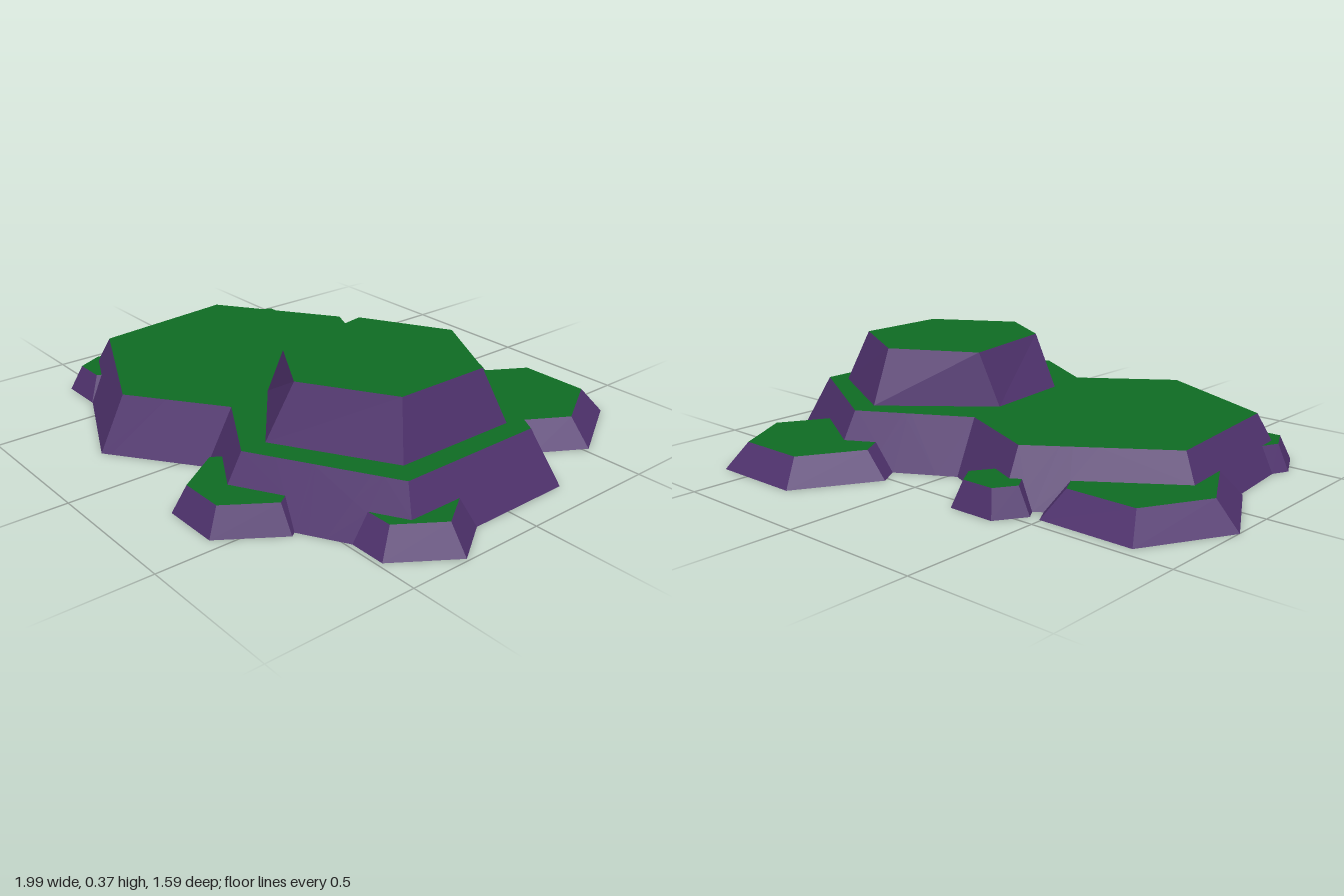
import * as THREE from 'three';

const EPS = 1e-5;
const mossGreen = new THREE.MeshStandardMaterial({ name: 'moss green', color: 0x0f6c23, side: THREE.DoubleSide });
const rockPurple = new THREE.MeshStandardMaterial({ name: 'rock purple', color: 0x4f326d, side: THREE.DoubleSide });

const ring = (points, y) => points.map(([x, z]) => new THREE.Vector3(x, y, z));
const scaled = (cx, cz, points, s) => points.map(([x, z]) => [cx + x * s, cz + z * s]);

// Sloped slab without a floor; outlines run back, left, front, right.
function slab(name, base, top, y0, y1, cutFloor = -1) {
  const lower = ring(base, y0), upper = ring(top, y1), n = lower.length;
  const walls = lower.map((p, i) => [p, lower[(i + 1) % n], upper[(i + 1) % n], upper[i]]);
  const planes = [...walls, upper].map((f) => new THREE.Plane().setFromCoplanarPoints(f[0], f[1], f[2]));
  planes.push(new THREE.Plane(new THREE.Vector3(0, -1, 0), cutFloor));
  return { name, walls, top: upper, planes };
}

// Small six-sided ledge around the foot of the rock.
function ledge(name, cx, cz, reach, half, depth, ratio) {
  const hex = [[half, -depth], [-half, -depth], [-reach, 0], [-half, depth], [half, depth], [reach, 0]];
  return slab(name, scaled(cx, cz, hex, 1), scaled(cx, cz, hex, ratio), 0, 0.09);
}

// Broad plateau given by its top outline.
function plateau(name, cx, cz, top, spread) {
  return slab(name, scaled(cx, cz, top, spread), scaled(cx, cz, top, 1), 0, 0.185);
}

// Pieces of a convex face lying outside a convex solid.
function outside(face, planes, keepCoplanar) {
  const kept = [];
  let rest = face;
  for (const plane of planes) {
    const d = rest.map((p) => plane.distanceToPoint(p));
    if (d.every((v) => Math.abs(v) < EPS)) {
      if (keepCoplanar) return [face];
      continue;
    }
    if (d.every((v) => v > -EPS)) return [face];
    if (d.every((v) => v < EPS)) continue;
    const out = [], inn = [];
    rest.forEach((p, i) => {
      const j = (i + 1) % rest.length;
      if (d[i] > -EPS) out.push(p);
      if (d[i] < EPS) inn.push(p);
      if ((d[i] > EPS && d[j] < -EPS) || (d[i] < -EPS && d[j] > EPS)) {
        const cut = p.clone().lerp(rest[j], d[i] / (d[i] - d[j]));
        out.push(cut);
        inn.push(cut);
      }
    });
    kept.push(out);
    rest = inn;
  }
  return kept;
}

// Flat-shaded mesh made of convex faces.
function faceMesh(name, faces, material) {
  const points = [];
  for (const f of faces) {
    for (let i = 1; i < f.length - 1; i++) points.push(f[0], f[i], f[i + 1]);
  }
  const geometry = new THREE.BufferGeometry().setFromPoints(points);
  geometry.computeVertexNormals();
  const mesh = new THREE.Mesh(geometry, material);
  mesh.name = name;
  return mesh;
}

export function createModel() {
  const slabs = [
    // Two overlapping plateaus at the same height
    plateau('leftPlateau', -0.264, 0.142,
      [[-0.075, -0.518], [-0.497, -0.224], [-0.443, 0.299], [0.032, 0.518], [0.49, 0.19], [0.454, -0.288]], 1.19),
    plateau('rightPlateau', 0.35, 0.072,
      [[0, -0.518], [-0.45, -0.262], [-0.454, 0.262], [0, 0.523], [0.452, 0.267], [0.449, -0.262]], 1.2),
    // Summit block, open into the hollow below
    slab('summit',
      [[0.35, -0.36], [0.01, -0.08], [0.05, 0.27], [0.35, 0.505], [0.725, 0.285], [0.725, -0.16]],
      [[0.377, -0.26], [0.088, -0.1], [0.158, 0.286], [0.377, 0.414], [0.665, 0.24], [0.665, -0.1]],
      0.185, 0.37, 0.18),
    // Ledges around the foot
    ledge('backRightLedge', 0.454, -0.52, 0.331, 0.168, 0.278, 0.75),
    ledge('backLeftLedge', -0.665, -0.158, 0.337, 0.171, 0.299, 0.75),
    ledge('smallBackLedge', -0.307, -0.457, 0.15, 0.085, 0.102, 0.7),
    ledge('smallFrontLedge', -0.686, 0.451, 0.144, 0.08, 0.134, 0.7),
    ledge('frontLedge', 0.352, 0.59, 0.235, 0.1, 0.198, 0.78),
    ledge('rightLedge', 0.745, 0.286, 0.246, 0.112, 0.198, 0.73),
  ];

  const model = new THREE.Group();
  model.name = 'steppedRock';
  slabs.forEach((s, i) => {
    // Trim away whatever lies inside the neighbouring slabs
    const trim = (faces) => slabs.reduce((list, other, j) =>
      (j === i ? list : list.flatMap((f) => outside(f, other.planes, j > i && other.name !== 'summit'))), faces);
    const part = new THREE.Group();
    part.name = s.name;
    part.add(faceMesh(s.name + 'Slopes', trim(s.walls), rockPurple));
    part.add(faceMesh(s.name + 'Top', trim([s.top]), mossGreen));
    model.add(part);
  });
  return model;
}
